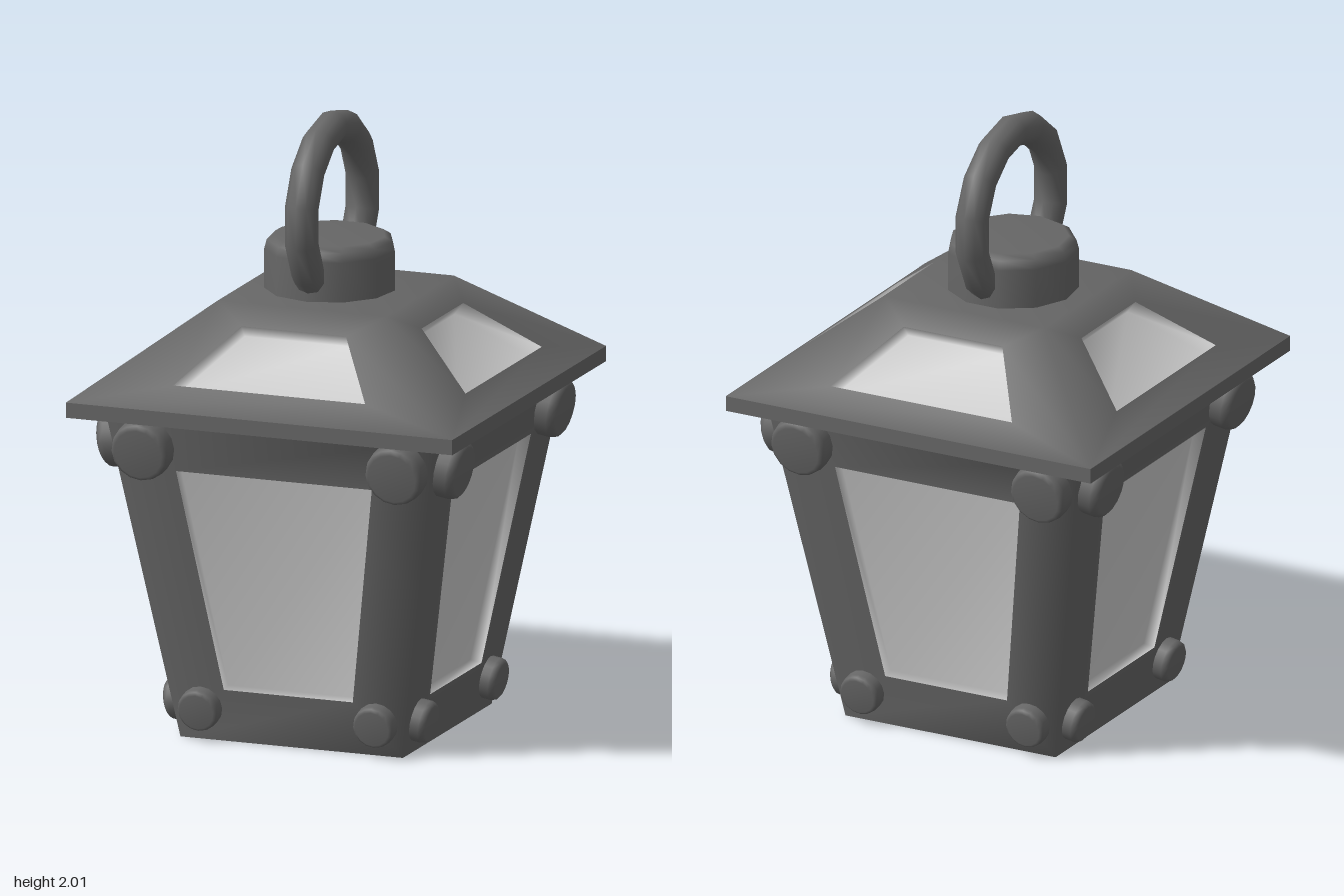
import * as THREE from 'three';
import { mergeVertices } from 'three/addons/utils/BufferGeometryUtils.js';

const metal = new THREE.MeshStandardMaterial({ color: 0x666666 });
const glass = new THREE.MeshStandardMaterial({ color: 0xcccccc });

// Smooth geometry from a list of quads (corners counter-clockwise seen from outside)
function fromQuads(quads) {
  const pts = quads.flatMap(([a, b, c, d]) => [a, b, c, a, c, d]);
  const geo = mergeVertices(new THREE.BufferGeometry().setFromPoints(pts), 1e-4);
  geo.computeVertexNormals();
  return geo;
}

// Four sloping sides, each with a trapezoid window and a recessed pane.
// y0/w0 and y1/w1: bottom and top height and half width of the side; hole: same for the window.
function windowedSides({ y0, w0, y1, w1, hole, depth }) {
  const frame = [], panes = [];
  const slope = (w1 - w0) / (y1 - y0);
  const inward = new THREE.Vector3(0, slope, -1).normalize().multiplyScalar(depth);
  const corner = (x, y) => new THREE.Vector3(x, y, w0 + slope * (y - y0));
  const trapezoid = (ya, wa, yb, wb) =>
    [corner(-wa, ya), corner(wa, ya), corner(wb, yb), corner(-wb, yb)];
  const up = new THREE.Vector3(0, 1, 0);
  for (let side = 0; side < 4; side++) {
    const turn = (p) => p.clone().applyAxisAngle(up, side * Math.PI / 2);
    const outer = trapezoid(y0, w0, y1, w1).map(turn);
    const inner = trapezoid(hole.y0, hole.w0, hole.y1, hole.w1);
    const back = inner.map((p) => turn(p.clone().add(inward)));
    const rim = inner.map(turn);
    for (let i = 0; i < 4; i++) {
      const j = (i + 1) % 4;
      frame.push([outer[i], outer[j], rim[j], rim[i]]);
      panes.push([rim[i], rim[j], back[j], back[i]]);
    }
    panes.push(back);
  }
  return { frame, panes };
}

// Round stud with a bevelled front edge, axis along +y
function studGeometry(r, h) {
  const p = [[r, -0.03], [r, h * 0.6], [r * 0.95, h * 0.85], [r * 0.82, h], [0, h]];
  return new THREE.LatheGeometry(p.map(([x, y]) => new THREE.Vector2(x, y)), 16);
}

export function createModel() {
  const model = new THREE.Group();
  const add = (name, geo, mat, parent = model) => {
    const mesh = new THREE.Mesh(geo, mat);
    mesh.name = name;
    parent.add(mesh);
    return mesh;
  };
  const flatSquare = (w, y, facing) => {
    const geo = new THREE.PlaneGeometry(2 * w, 2 * w);
    return geo.rotateX(-facing * Math.PI / 2).translate(0, y, 0);
  };

  // Tapered body with four panes
  const bodySize = { y0: 0, w0: 0.383, y1: 1.1, w1: 0.568 };
  const body = windowedSides({
    ...bodySize, depth: 0.04, hole: { y0: 0.175, w0: 0.222, y1: 0.915, w1: 0.337 },
  });
  add('bodyFrame', fromQuads(body.frame), metal);
  add('bodyPanes', fromQuads(body.panes), glass);
  add('base', flatSquare(0.383, 0, -1), metal);

  // Roof with four panes and a flat top
  const roof = windowedSides({
    y0: 1.14, w0: 0.665, y1: 1.425, w1: 0.29, depth: 0.05,
    hole: { y0: 1.207, w0: 0.33, y1: 1.367, w1: 0.18 },
  });
  const t = (x, z) => new THREE.Vector3(x * 0.29, 1.425, z * 0.29);
  roof.frame.push([t(-1, 1), t(1, 1), t(1, -1), t(-1, -1)]);
  add('roofFrame', fromQuads(roof.frame), metal);
  add('roofPanes', fromQuads(roof.panes), glass);

  // Eave: thin upright rim and flat underside
  const eave = [];
  const c = [[-1, 1], [1, 1], [1, -1], [-1, -1]];
  const e = (i, y) => new THREE.Vector3(c[i % 4][0] * 0.665, y, c[i % 4][1] * 0.665);
  for (let i = 0; i < 4; i++) eave.push([e(i, 1.09), e(i + 1, 1.09), e(i + 1, 1.14), e(i, 1.14)]);
  const rim = fromQuads(eave).toNonIndexed();
  rim.computeVertexNormals();
  add('eaveRim', rim, metal);
  add('eaveUnderside', flatSquare(0.665, 1.09, -1), metal);

  // Studs near the corners of each side
  const slope = (bodySize.w1 - bodySize.w0) / bodySize.y1;
  const studs = [
    { name: 'upperStud', x: 0.437, y: 0.99, geo: studGeometry(0.099, 0.068) },
    { name: 'lowerStud', x: 0.302, y: 0.11, geo: studGeometry(0.07, 0.05) },
  ];
  for (let side = 0; side < 4; side++) {
    const group = new THREE.Group();
    group.name = 'sideStuds';
    group.rotation.y = side * Math.PI / 2;
    model.add(group);
    for (const s of studs) for (const sign of [-1, 1]) {
      const mesh = add(s.name, s.geo, metal, group);
      mesh.position.set(sign * s.x, s.y, bodySize.w0 + slope * s.y);
      mesh.rotation.x = Math.PI / 2 + Math.atan(slope);
    }
  }

  // Cap with a bevelled top edge
  const capProfile = [[0.212, 1.4], [0.212, 1.555], [0.204, 1.585], [0.18, 1.6], [0, 1.6]];
  const cap = new THREE.LatheGeometry(capProfile.map(([x, y]) => new THREE.Vector2(x, y)), 11);
  add('cap', cap, metal).position.set(-0.022, 0, -0.007);

  // Hanging ring standing in the y-z plane
  const ring = add('hangingRing', new THREE.TorusGeometry(0.268, 0.054, 10, 14), metal);
  ring.rotation.set(0, Math.PI / 2, 0);
  ring.geometry.rotateZ(Math.PI / 14);
  ring.position.set(-0.017, 1.685, -0.008);

  return model;
}
